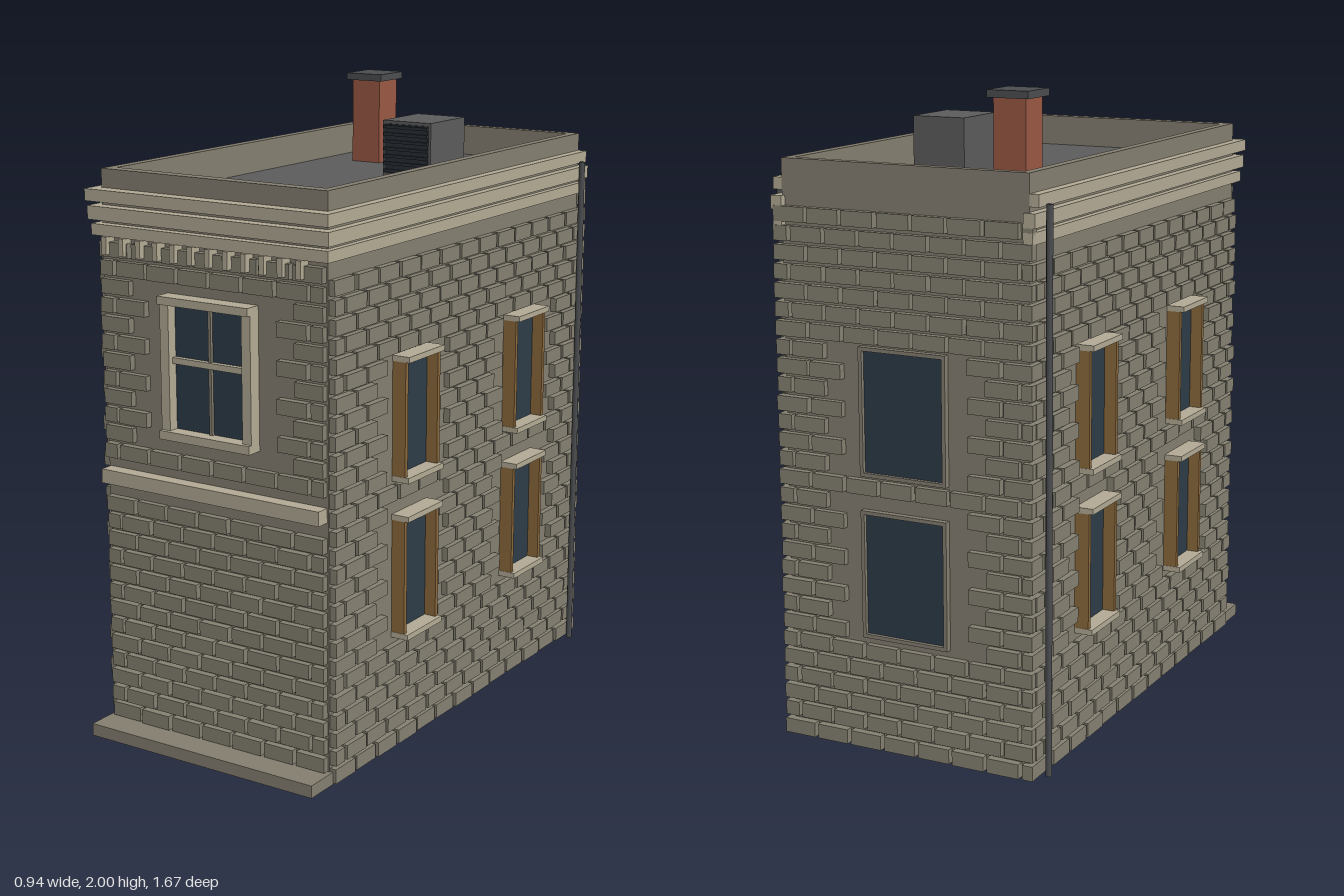
import * as THREE from 'three';
import { mergeGeometries } from 'three/addons/utils/BufferGeometryUtils.js';

const mat = (name, color) => {
  const m = new THREE.MeshStandardMaterial({ color });
  m.name = name;
  return m;
};

export function createModel() {
  const M = {
    wall: mat('wall stone', 0x857f71),
    brick: mat('grey brick', 0x858172),
    trim: mat('pale trim', 0xb3ab95),
    roof: mat('roof grey', 0x5c5c5c),
    glass: mat('dark glass', 0x2d3b47),
    wood: mat('window wood', 0x8c6a3d),
    chimney: mat('red brick', 0x9a5844),
    metal: mat('dark metal', 0x4b4d50),
    louver: mat('louver black', 0x282e34),
  };
  const root = new THREE.Group();

  // Box given by its extents on each axis
  const boxGeo = (x0, x1, y0, y1, z0, z1) =>
    new THREE.BoxGeometry(x1 - x0, y1 - y0, z1 - z0)
      .translate((x0 + x1) / 2, (y0 + y1) / 2, (z0 + z1) / 2);
  const add = (parent, name, geo, material) => {
    const m = new THREE.Mesh(geo, material);
    m.name = name;
    parent.add(m);
    return m;
  };
  const box = (parent, name, material, ...e) => add(parent, name, boxGeo(...e), material);
  const group = (name) => {
    const g = new THREE.Group();
    g.name = name;
    root.add(g);
    return g;
  };
  let seed = 7;
  const rand = () => (seed = (seed * 16807) % 2147483647) / 2147483647;

  const W = 0.41, ZB = -0.81, ZF = 0.73, ROOF = 1.7;

  // Core, roof and parapet
  box(root, 'wallCore', M.wall, -W, W, 0, 1.69, ZB, ZF);
  box(root, 'roofDeck', M.roof, -0.38, 0.38, 1.69, ROOF, -0.78, 0.69);
  const rect = (S, x0, x1, y0, y1) => {
    const s = new S();
    s.moveTo(x0, y0).lineTo(x1, y0).lineTo(x1, y1).lineTo(x0, y1).closePath();
    return s;
  };
  const ring = rect(THREE.Shape, -W, W, -ZF, -ZB);
  ring.holes.push(rect(THREE.Path, -0.38, 0.38, -0.69, 0.78));
  add(root, 'parapet', new THREE.ExtrudeGeometry(ring, { depth: 0.11, bevelEnabled: false })
    .rotateX(-Math.PI / 2).translate(0, 1.69, 0), M.wall);

  // Brick courses in running bond, built facing +z; bricks touching an opening are left out
  const PITCH = 0.0575, LEN = 0.118, GAP = 0.012;
  const brickWall = (name, u0, u1, y0, top, openings, place) => {
    const parts = [];
    for (let row = 0; y0 + row * PITCH + 0.046 <= top + 0.002; row++) {
      const y = y0 + row * PITCH;
      for (let u = u0 - (row % 2) * LEN / 2; u < u1 - 0.02; u += LEN) {
        const a = Math.max(u, u0), b = Math.min(u + LEN - GAP, u1);
        if (b - a < 0.02) continue;
        if (openings.some(o => b > o[0] && a < o[1] && y + 0.046 > o[2] && y < o[3])) continue;
        parts.push(boxGeo(a, b, y, y + 0.046, -0.005, 0.019 + rand() * 0.006));
      }
    }
    const mesh = add(root, name, mergeGeometries(parts), M.brick);
    place(mesh);
  };
  const levels = [[0.36, 0.76], [0.865, 1.26]];
  const windowZ = [0.28, -0.405];
  const sideOpenings = (s) => windowZ.flatMap(z =>
    levels.map(([a, b]) => [s * z - 0.12, s * z + 0.12, a - 0.005, b + 0.005]));
  brickWall('frontBricks', -0.405, 0.405, 0.042, 1.6,
    [[-0.19, 0.19, 0.995, 1.455], [-0.4, 0.4, 0.835, 0.86]],
    m => { m.position.z = ZF; });
  brickWall('backBricks', -0.43, 0.43, 0.004, 1.69,
    levels.map(([a, b]) => [-0.16, 0.16, a, b]),
    m => { m.rotation.y = Math.PI; m.position.z = ZB; });
  brickWall('leftBricks', -0.725, 0.81, 0.004, 1.6, sideOpenings(-1),
    m => { m.rotation.y = Math.PI / 2; m.position.x = W; });
  brickWall('rightBricks', -0.81, 0.725, 0.004, 1.6, sideOpenings(1),
    m => { m.rotation.y = -Math.PI / 2; m.position.x = -W; });

  // Front step
  box(root, 'frontStep', M.wall, -0.42, 0.42, 0, 0.04, 0.72, 0.84);

  // Cornice bands around the front and both sides
  const cornice = group('cornice');
  for (const [y0, y1, w, zf, zb] of [
    [1.705, 1.742, 0.44, 0.775, -0.81],
    [1.648, 1.69, 0.437, 0.768, -0.83],
    [1.6, 1.635, 0.43, 0.76, -0.83],
  ]) {
    box(cornice, 'frontBand', M.trim, -w, w, y0, y1, ZF - 0.01, zf);
    for (const s of [-1, 1]) {
      box(cornice, 'sideBand', M.trim, Math.min(s * 0.4, s * w), Math.max(s * 0.4, s * w),
        y0, y1, zb, ZF - 0.01);
    }
  }
  // Dentils under the cornice
  for (let i = 0; i < 12; i++) {
    const x = -0.375 + i * 0.0645;
    box(cornice, 'dentil', M.trim, x - 0.009, x + 0.009, 1.545, 1.6, ZF, 0.77);
  }
  box(root, 'beltCourse', M.trim, -0.405, 0.405, 0.825, 0.87, ZF, 0.775);

  // Front sash window
  const fw = group('frontWindow');
  box(fw, 'glass', M.glass, -0.14, 0.14, 1.03, 1.42, ZF, ZF + 0.008);
  for (const s of [-1, 1]) {
    box(fw, 'jamb', M.trim, s * 0.15 - 0.016, s * 0.15 + 0.016, 1.01, 1.44, ZF, 0.772);
  }
  box(fw, 'lintel', M.trim, -0.166, 0.166, 1.42, 1.445, ZF, 0.785);
  box(fw, 'sill', M.trim, -0.166, 0.166, 1.005, 1.032, ZF, 0.785);
  box(fw, 'meetingRail', M.trim, -0.135, 0.135, 1.237, 1.256, ZF, 0.755);
  box(fw, 'mullion', M.wall, -0.005, 0.005, 1.03, 1.42, ZF, 0.748);

  // Side windows, built facing +z then turned to each side
  const sideWindow = (x, z, [y0, y1]) => {
    const g = group('sideWindow');
    box(g, 'glass', M.glass, -0.095, 0.095, y0 + 0.01, y1 - 0.01, 0, 0.007);
    for (const s of [-1, 1]) {
      box(g, 'jamb', M.wood, s * 0.094 - 0.0075, s * 0.094 + 0.0075, y0 + 0.015, y1 - 0.015, 0, 0.046);
    }
    box(g, 'lintel', M.trim, -0.103, 0.103, y1 - 0.018, y1, 0, 0.06);
    box(g, 'sill', M.trim, -0.103, 0.103, y0, y0 + 0.018, 0, 0.06);
    g.position.set(x, 0, z);
    g.rotation.y = Math.sign(x) * Math.PI / 2;
  };
  for (const x of [-W, W]) for (const z of windowZ) for (const l of levels) sideWindow(x, z, l);

  // Plain back windows with a slim surround
  for (const [y0, y1] of levels) {
    const g = group('backWindow');
    box(g, 'glass', M.glass, -0.135, 0.135, y0 + 0.01, y1 - 0.01, ZB - 0.008, ZB);
    for (const s of [-1, 1]) {
      box(g, 'jamb', M.wall, s * 0.14 - 0.006, s * 0.14 + 0.006, y0, y1, ZB - 0.02, ZB);
    }
    box(g, 'head', M.wall, -0.134, 0.134, y1 - 0.012, y1, ZB - 0.02, ZB);
    box(g, 'foot', M.wall, -0.134, 0.134, y0, y0 + 0.012, ZB - 0.02, ZB);
  }

  // Drainpipes
  for (const s of [-1, 1]) {
    const pipe = add(root, 'drainpipe', new THREE.CylinderGeometry(0.01, 0.01, 1.71, 10), M.metal);
    pipe.position.set(s * 0.449, 0.855, -0.762);
  }

  // Chimney
  const ch = group('chimney');
  box(ch, 'stack', M.chimney, -0.26, -0.153, ROOF, 1.98, -0.537, -0.428);
  box(ch, 'cap', M.metal, -0.275, -0.139, 1.977, 2, -0.552, -0.415);

  // Rooftop vent unit with louvers
  const vent = group('roofVent');
  box(vent, 'housing', M.roof, 0.055, 0.234, ROOF, 1.89, -0.335, -0.122);
  box(vent, 'grille', M.louver, 0.064, 0.225, ROOF + 0.02, 1.88, -0.122, -0.118);
  for (let i = 0; i < 7; i++) {
    const y = 1.725 + i * 0.0235;
    box(vent, 'slat', M.louver, 0.064, 0.225, y, y + 0.01, -0.12, -0.11);
  }
  return root;
}
